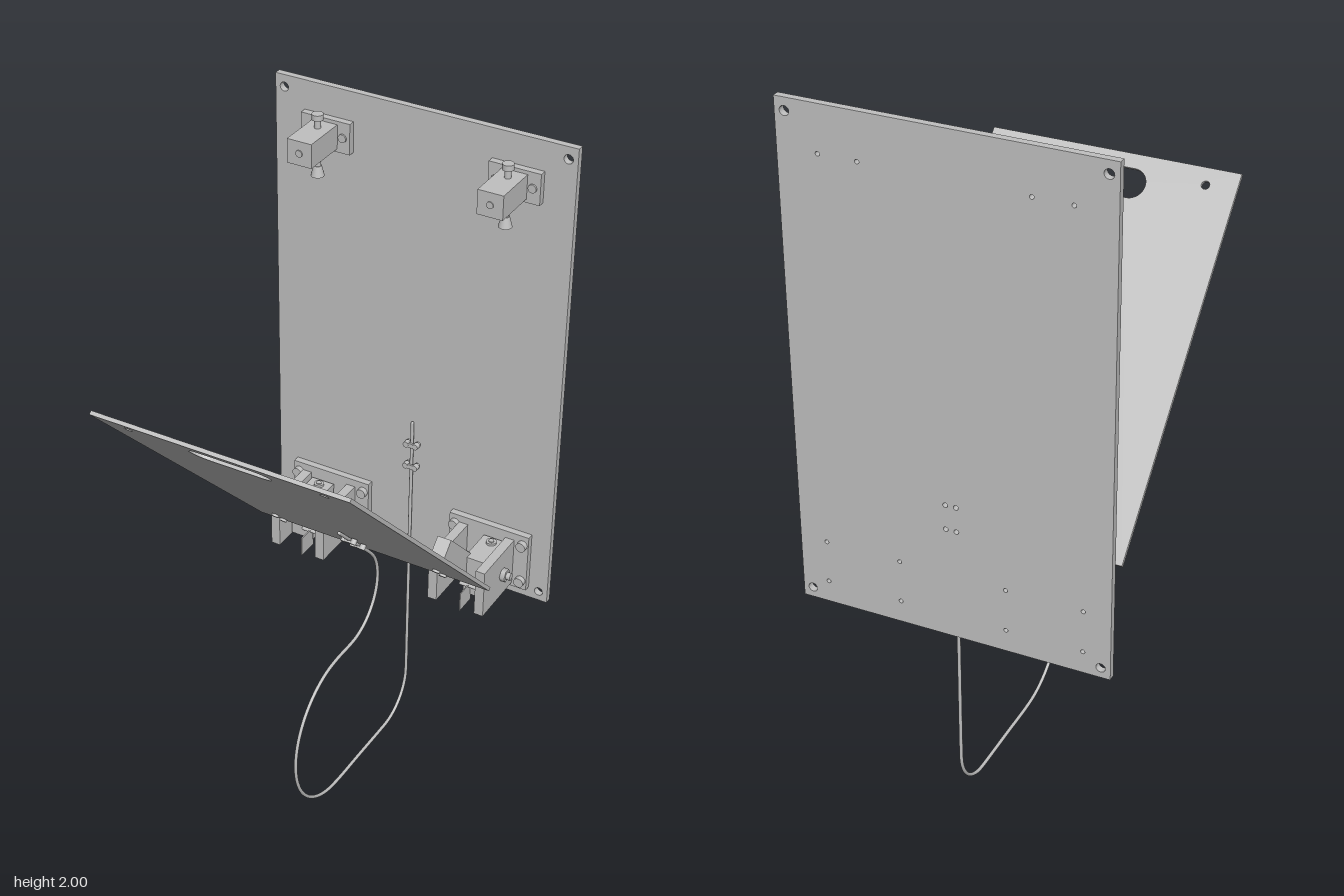
import * as THREE from 'three';

const metal = new THREE.MeshStandardMaterial({ color: 0xc0c0c0 });
metal.name = 'plain grey metal';

function add(parent, name, geometry, x = 0, y = 0, z = 0) {
  const mesh = new THREE.Mesh(geometry, metal);
  mesh.name = name;
  mesh.position.set(x, y, z);
  parent.add(mesh);
  return mesh;
}

// Box given by its min and max on each axis
function box(parent, name, [x0, x1], [y0, y1], [z0, z1]) {
  return add(parent, name, new THREE.BoxGeometry(x1 - x0, y1 - y0, z1 - z0),
    (x0 + x1) / 2, (y0 + y1) / 2, (z0 + z1) / 2);
}

// Cylinder lying along one axis, centred on a point
function rod(parent, name, axis, radius, length, x, y, z, sides = 20) {
  const g = new THREE.CylinderGeometry(radius, radius, length, sides);
  if (axis === 'x') g.rotateZ(Math.PI / 2);
  if (axis === 'z') g.rotateX(Math.PI / 2);
  return add(parent, name, g, x, y, z);
}

// Flat sheet with round holes [x, y, radius] and optional extra hole paths
function sheet(w, y0, y1, depth, holes, paths = []) {
  const s = new THREE.Shape();
  s.moveTo(-w, y0).lineTo(w, y0).lineTo(w, y1).lineTo(-w, y1).closePath();
  for (const [x, y, r] of holes) s.holes.push(new THREE.Path().absarc(x, y, r, 0, Math.PI * 2, true));
  s.holes.push(...paths);
  return new THREE.ExtrudeGeometry(s, { depth, bevelEnabled: false, curveSegments: 12 });
}

const SIDES = [-1, 1];
const CLIP_WALL = [0.89, 0.963];
const CLIP_FLAP = [0.113, 0.185];

// Spring catch near the top of the back panel
function catchUnit(x) {
  const g = new THREE.Group();
  g.name = 'topCatch';
  g.position.set(x, 1.87, 0);
  box(g, 'catchPlate', [-0.075, 0.075], [-0.045, 0.045], [-0.5, -0.48]);
  box(g, 'catchBlock', [-0.037, 0.037], [-0.035, 0.035], [-0.48, -0.345]);
  for (const s of SIDES) rod(g, 'plateScrew', 'z', 0.012, 0.006, s * 0.053, 0, -0.478);
  rod(g, 'blockPin', 'z', 0.01, 0.004, 0, 0, -0.344);
  rod(g, 'catchBolt', 'y', 0.009, 0.165, 0, -0.01, -0.44);
  rod(g, 'boltHead', 'y', 0.016, 0.016, 0, 0.067, -0.44);
  const knob = new THREE.CylinderGeometry(0.011, 0.019, 0.03, 16);
  add(g, 'boltKnob', knob, 0, -0.09, -0.44);
  return g;
}

// Hinge bracket; the hub block sits toward the outer side
function hinge(x, side) {
  const g = new THREE.Group();
  g.name = 'hinge';
  g.position.set(x, 0, 0);
  box(g, 'hingePlate', [-0.126, 0.126], [0.595, 0.78], [-0.5, -0.48]);
  for (const sx of SIDES) {
    for (const y of [0.625, 0.75]) rod(g, 'plateScrew', 'z', 0.015, 0.016, sx * 0.108, y, -0.472);
  }
  for (const c of [-0.081, 0.067]) {
    box(g, 'sideLug', [c - 0.014, c + 0.014], [0.607, 0.757], [-0.48, -0.297]);
  }
  // hinge pin with head and nut
  rod(g, 'hingePin', 'x', 0.011, 0.22, 0, 0.683, -0.41);
  rod(g, 'pinHead', 'x', 0.02, 0.015, -0.102, 0.683, -0.41);
  rod(g, 'pinNut', 'x', 0.02, 0.015, 0.09, 0.683, -0.41, 6);
  // hub block, spacer and upright screw
  const bx = side * 0.024;
  box(g, 'hubBlock', [bx - 0.036, bx + 0.036], [0.62, 0.745], [-0.475, -0.355]);
  rod(g, 'hubSpacer', 'x', 0.029, 0.12, -0.007, 0.683, -0.413);
  rod(g, 'hubScrew', 'y', 0.008, 0.16, bx, 0.675, -0.45);
  rod(g, 'hubScrewHead', 'y', 0.015, 0.008, bx, 0.748, -0.45);
  rod(g, 'hubScrewNut', 'y', 0.016, 0.02, bx, 0.6, -0.45, 6);
  // small stop bolt and tab beside the arm
  rod(g, 'stopBolt', 'x', 0.005, 0.07, 0.016, 0.655, -0.347, 10);
  rod(g, 'stopBoltHead', 'x', 0.011, 0.006, 0.048, 0.655, -0.347, 12);
  box(g, 'stopTab', [0.007, 0.01], [0.6, 0.66], [-0.36, -0.295]);
  rod(g, 'sideScrew', 'x', 0.006, 0.08, 0.02, 0.7, -0.46, 10);
  return g;
}

// Saddle clip with two screws, lying in the local xy plane
function cableClip(parent, y, z, out) {
  box(parent, 'cableClip', [-0.018, 0.018], [y - 0.007, y + 0.007], [z - 0.003, z + 0.003]);
  for (const s of SIDES) rod(parent, 'clipScrew', 'z', 0.009, 0.016, s * 0.015, y, z - out * 0.004, 12);
}

// Tilted flap with hand slot, arms and cable clips
function flap() {
  const g = new THREE.Group();
  g.name = 'tiltedFlap';
  g.position.set(0, 0.735, -0.277);
  g.rotation.x = Math.PI / 4;
  const slot = new THREE.Path();
  slot.absarc(0.072, 1.025, 0.043, Math.PI / 2, -Math.PI / 2, true);
  slot.absarc(-0.072, 1.025, 0.043, -Math.PI / 2, -Math.PI * 1.5, true);
  slot.closePath();
  const holes = SIDES.map(s => [s * 0.28, 1.06, 0.012]);
  add(g, 'flapPanel', sheet(0.37, 0, 1.11, 0.011, holes, [slot]));
  for (const x of [-0.285, 0.235]) {
    box(g, 'hingeArm', [x - 0.021, x + 0.021], [-0.13, 0.115], [-0.078, 0]);
    for (const u of [0.025, 0.085]) rod(g, 'armScrew', 'z', 0.011, 0.008, x, u, 0.014);
  }
  for (const u of CLIP_FLAP) {
    cableClip(g, u, 0.024, 1);
    cableClip(g, u, -0.006, -1);
  }
  return g;
}

// Cable path in the z-y plane: straight runs joined by arcs
function cable() {
  const pts = [];
  const point = (z, y) => pts.push(new THREE.Vector3(0, y, z));
  const arc = (cz, cy, r, a0, a1) => {
    for (let i = 0; i <= 12; i++) {
      const a = THREE.MathUtils.degToRad(a0 + (a1 - a0) * i / 12);
      point(cz + r * Math.cos(a), cy + r * Math.sin(a));
    }
  };
  point(-0.077, 0.911);
  point(-0.15, 0.837);
  arc(-0.15, 0.622, 0.15, 135, 270);
  arc(-0.07, 0.2385, 0.2335, 90, -90);
  point(-0.2, 0.005);
  arc(-0.36, 0.135, 0.13, 270, 180);
  point(-0.49, 0.5);
  point(-0.49, 1.035);
  return new THREE.TubeGeometry(new THREE.CatmullRomCurve3(pts, false, 'centripetal'), 180, 0.005, 10);
}

export function createModel() {
  const model = new THREE.Group();
  model.name = 'wallMountedFlap';

  // back panel with corner and fastener holes
  const holes = [];
  for (const s of SIDES) {
    for (const y of [0.59, 1.965]) holes.push([s * 0.418, y, 0.013]);
    for (const d of SIDES) {
      holes.push([s * 0.28 + d * 0.053, 1.87, 0.006]);
      for (const y of [0.625, 0.75]) holes.push([s * 0.26 + d * 0.108, y, 0.006]);
    }
    for (const y of CLIP_WALL) holes.push([s * 0.015, y, 0.007]);
  }
  add(model, 'backPanel', sheet(0.445, 0.56, 2, 0.02, holes), 0, 0, -0.52);

  for (const s of SIDES) model.add(catchUnit(s * 0.28), hinge(s * 0.26, s));
  model.add(flap());

  // cable and its clips on the back panel
  add(model, 'cable', cable());
  for (const z of [-0.077, -0.49]) {
    const end = add(model, 'cableEnd', new THREE.SphereGeometry(0.005, 10, 8), 0, 1.035, z);
    if (z > -0.1) end.position.y = 0.911;
  }
  for (const y of CLIP_WALL) cableClip(model, y, -0.483, 1);
  return model;
}
